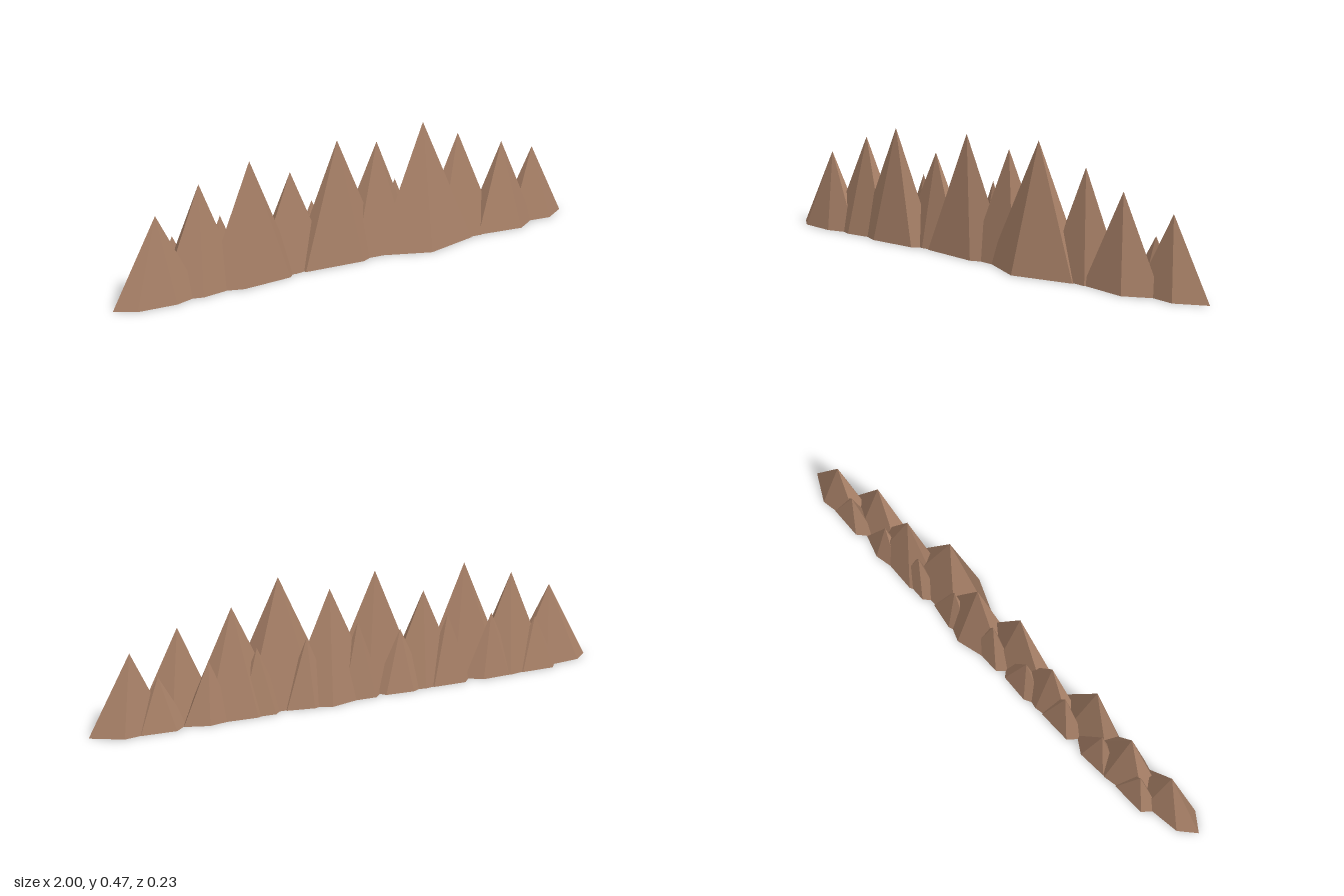
import * as THREE from 'three';

const rock = new THREE.MeshStandardMaterial({
  color: 0xa67f66, flatShading: true, side: THREE.DoubleSide,
});

// Open faceted cone, flattened in z; phase is the angle of one base corner from +x towards +z
function peak(name, [x, z, height, rx, rz, sides, phase]) {
  const start = Math.PI / 2 - THREE.MathUtils.degToRad(phase);
  const geometry = new THREE.ConeGeometry(1, height, sides, 1, true, start);
  geometry.scale(rx, 1, rz);
  geometry.translate(x, height / 2, z);
  const mesh = new THREE.Mesh(geometry, rock);
  mesh.name = name;
  return mesh;
}

export function createModel() {
  const range = new THREE.Group();
  range.name = 'mountainRange';

  // Main peaks: x, z, height, x radius, z radius, sides, phase
  const mainPeaks = [
    [-0.83, 0, 0.3, 0.17, 0.065, 7, 179],
    [-0.65, -0.02, 0.375, 0.185, 0.075, 6, 40],
    [-0.46, 0, 0.43, 0.2, 0.065, 6, 49],
    [-0.275, -0.03, 0.355, 0.18, 0.06, 6, 35],
    [-0.09, -0.007, 0.447, 0.21, 0.064, 5, 69],
    [0.1, -0.03, 0.41, 0.195, 0.085, 5, 62],
    [0.28, 0.01, 0.465, 0.225, 0.105, 5, 98],
    [0.47, -0.022, 0.39, 0.185, 0.08, 6, 10],
    [0.66, 0.005, 0.335, 0.17, 0.073, 5, 72],
    [0.845, -0.03, 0.28, 0.155, 0.065, 5, 0],
  ];
  mainPeaks.forEach((p, i) => range.add(peak(`mainPeak${i + 1}`, p)));

  // Smaller peaks standing behind the gaps: x, height
  const backPeaks = [
    [-0.74, 0.2], [-0.55, 0.24], [-0.365, 0.26], [-0.17, 0.23], [0, 0.28],
    [0.2, 0.25], [0.39, 0.24], [0.57, 0.22], [0.755, 0.19],
  ];
  backPeaks.forEach(([x, h], i) => {
    range.add(peak(`backPeak${i + 1}`, [x, -0.052, h, 0.11, 0.048, 5 + (i % 2), 20 + i * 37]));
  });

  return range;
}
